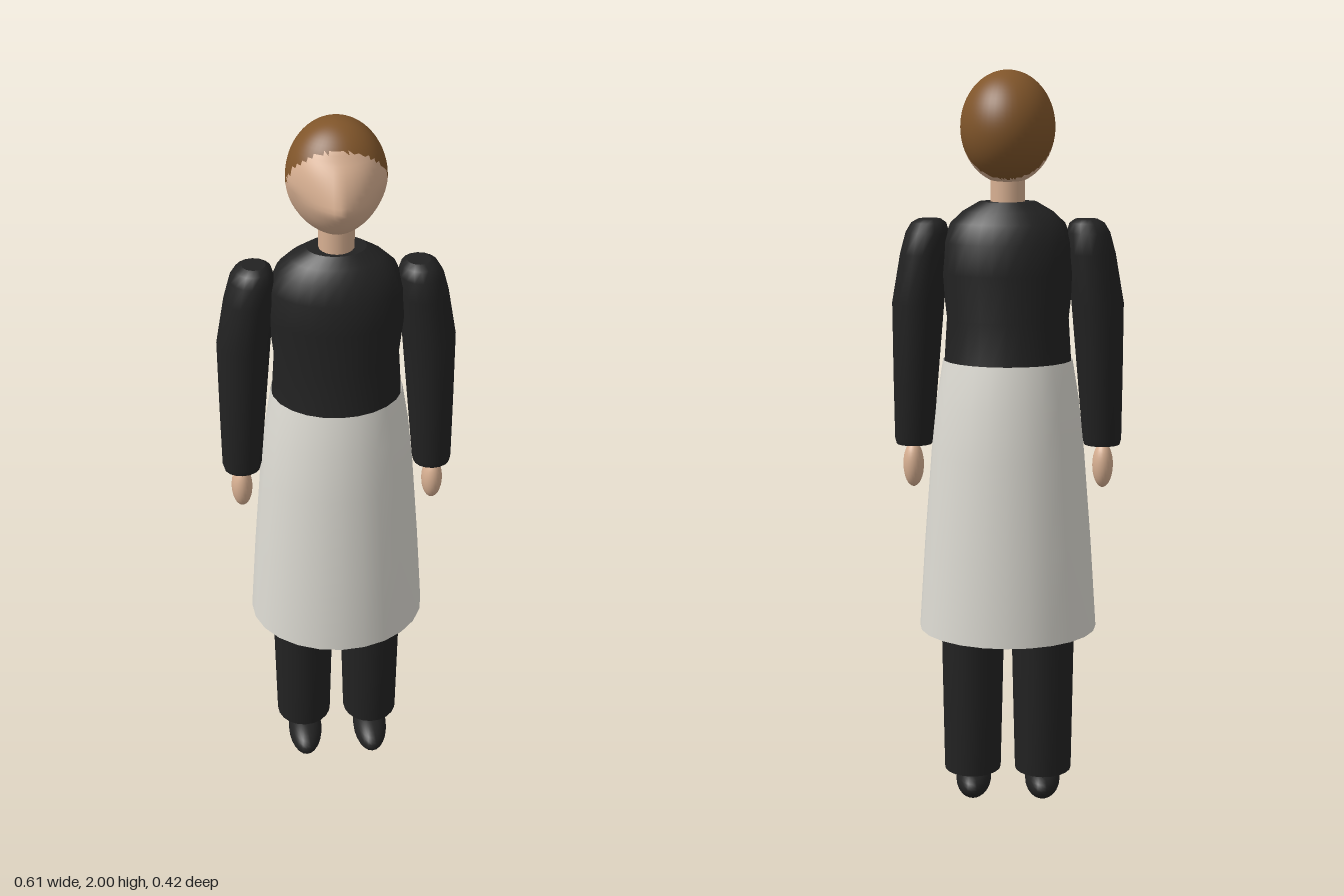
import * as THREE from 'three';

const mat = (name, color, side = THREE.FrontSide) =>
  new THREE.MeshStandardMaterial({ name, color, side });

// Smooth tube through elliptical rings [y, cx, cz, rx, rz], listed bottom to top
function loft(rings, seg, capped = true) {
  const pos = [], idx = [];
  const addRing = ([y, cx, cz, rx, rz]) => {
    const start = pos.length / 3;
    for (let i = 0; i < seg; i++) {
      const a = (i / seg) * Math.PI * 2;
      pos.push(cx + rx * Math.cos(a), y, cz + rz * Math.sin(a));
    }
    return start;
  };
  const starts = rings.map(addRing);
  for (let r = 0; r < rings.length - 1; r++) {
    for (let i = 0; i < seg; i++) {
      const n = (i + 1) % seg, a = starts[r], b = starts[r + 1];
      idx.push(a + i, b + i, a + n, a + n, b + i, b + n);
    }
  }
  // Flat end caps with their own corners, so the rims stay sharp
  if (capped) {
    for (const top of [false, true]) {
      const ring = rings[top ? rings.length - 1 : 0];
      const s = addRing(ring), c = pos.length / 3;
      pos.push(ring[1], ring[0], ring[2]);
      for (let i = 0; i < seg; i++) {
        const n = (i + 1) % seg;
        if (top) idx.push(c, s + n, s + i);
        else idx.push(c, s + i, s + n);
      }
    }
  }
  const g = new THREE.BufferGeometry();
  g.setAttribute('position', new THREE.Float32BufferAttribute(pos, 3));
  g.setIndex(idx);
  g.computeVertexNormals();
  return g;
}

// Head: an egg with a pointed nose and a narrowed jaw, split into face and hair
function headGeometry() {
  const CY = 1.855;
  const g = new THREE.SphereGeometry(1, 48, 36);
  const p = g.attributes.position;
  for (let i = 0; i < p.count; i++) {
    let x = p.getX(i) * 0.123, z = p.getZ(i);
    const y = CY + p.getY(i) * 0.145;
    if (z > 0) {
      const jaw = Math.max(0, (CY - y) / 0.145);
      x *= 1 - 0.25 * jaw * Math.min(1, z * 2);
      z *= 0.11;
      const nose = Math.max(0, 1 - Math.abs(x) / 0.1) * Math.max(0, 1 - Math.abs(y - 1.825) / 0.11);
      z += 0.047 * nose;
    } else z *= 0.142;
    p.setXYZ(i, x, y, z);
  }
  g.computeVertexNormals();
  // Close the shading seam at the back of the sphere
  const n = g.attributes.normal;
  for (let r = 0; r <= 36; r++) {
    const a = r * 49, b = a + 48;
    const v = new THREE.Vector3().fromBufferAttribute(n, a)
      .add(new THREE.Vector3().fromBufferAttribute(n, b)).normalize();
    n.setXYZ(a, v.x, v.y, v.z);
    n.setXYZ(b, v.x, v.y, v.z);
  }
  // Sort triangles by a sloping hairline
  const hair = [], face = [], ix = g.index.array;
  for (let i = 0; i < ix.length; i += 3) {
    const t = [ix[i], ix[i + 1], ix[i + 2]];
    const y = t.reduce((s, k) => s + p.getY(k), 0) / 3;
    const z = t.reduce((s, k) => s + p.getZ(k), 0) / 3;
    (z < 0.082 + (y - 1.96) * 0.62 ? hair : face).push(...t);
  }
  g.setIndex([...hair, ...face]);
  g.clearGroups();
  g.addGroup(0, hair.length, 0);
  g.addGroup(hair.length, face.length, 1);
  return g;
}

export function createModel() {
  const model = new THREE.Group();
  model.name = 'standingFigure';
  const black = mat('blackCloth', 0x222222);
  const white = mat('apronWhite', 0xdddbd3, THREE.DoubleSide);
  const skin = mat('skin', 0xd8b092);
  const hair = mat('brownHair', 0x80552a);

  const add = (name, geometry, material, parent = model) => {
    const m = new THREE.Mesh(geometry, material);
    m.name = name;
    parent.add(m);
    return m;
  };
  const ellipsoid = (x, y, z, rx, ry, rz) =>
    new THREE.SphereGeometry(1, 24, 16).scale(rx, ry, rz).translate(x, y, z);

  add('head', headGeometry(), [hair, skin]);
  add('neck', new THREE.CylinderGeometry(0.045, 0.045, 0.16, 20).translate(0, 1.7, 0), skin);

  // Bodice
  add('torso', loft([
    [1.22, 0, 0, 0.168, 0.144], [1.25, 0, 0, 0.168, 0.143], [1.36, 0, 0, 0.161, 0.125],
    [1.48, 0, 0, 0.174, 0.131], [1.56, 0, 0, 0.17, 0.122], [1.61, 0, 0, 0.15, 0.102],
    [1.64, 0, 0, 0.118, 0.08], [1.665, 0, 0, 0.075, 0.055],
  ], 28), black);

  // Open skirt
  add('skirt', loft([
    [0.51, 0, 0, 0.241, 0.21], [0.75, 0, 0, 0.225, 0.198], [1.0, 0, 0, 0.205, 0.182],
    [1.14, 0, 0, 0.19, 0.168], [1.25, 0, 0, 0.172, 0.147],
  ], 24, false), white);

  // Limbs, mirrored left and right
  for (const [side, s] of [['left', 1], ['right', -1]]) {
    const name = (part) => side + part;
    add(name('Sleeve'), loft([
      [1.015, s * 0.253, 0.02, 0.048, 0.042], [1.03, s * 0.253, 0.02, 0.052, 0.045],
      [1.2, s * 0.246, 0.012, 0.06, 0.056], [1.4, s * 0.237, 0.002, 0.069, 0.067],
      [1.53, s * 0.219, 0, 0.064, 0.074], [1.585, s * 0.211, 0, 0.057, 0.067],
      [1.61, s * 0.207, 0, 0.046, 0.05], [1.62, s * 0.205, 0, 0.03, 0.03],
    ], 16), black);
    add(name('Hand'), ellipsoid(s * 0.256, 0.957, 0.024, 0.028, 0.062, 0.033), skin);
    add(name('TrouserLeg'), loft([
      [0.095, s * 0.098, 0, 0.078, 0.081], [0.3, s * 0.097, 0, 0.082, 0.086],
      [0.52, s * 0.096, 0, 0.086, 0.089], [1.2, s * 0.078, 0, 0.075, 0.09],
    ], 20), black);
    add(name('Ankle'), new THREE.CylinderGeometry(0.04, 0.036, 0.07, 16)
      .translate(s * 0.097, 0.085, 0), black);
    add(name('Shoe'), ellipsoid(s * 0.097, 0.046, 0.037, 0.049, 0.046, 0.108), black);
  }
  return model;
}
